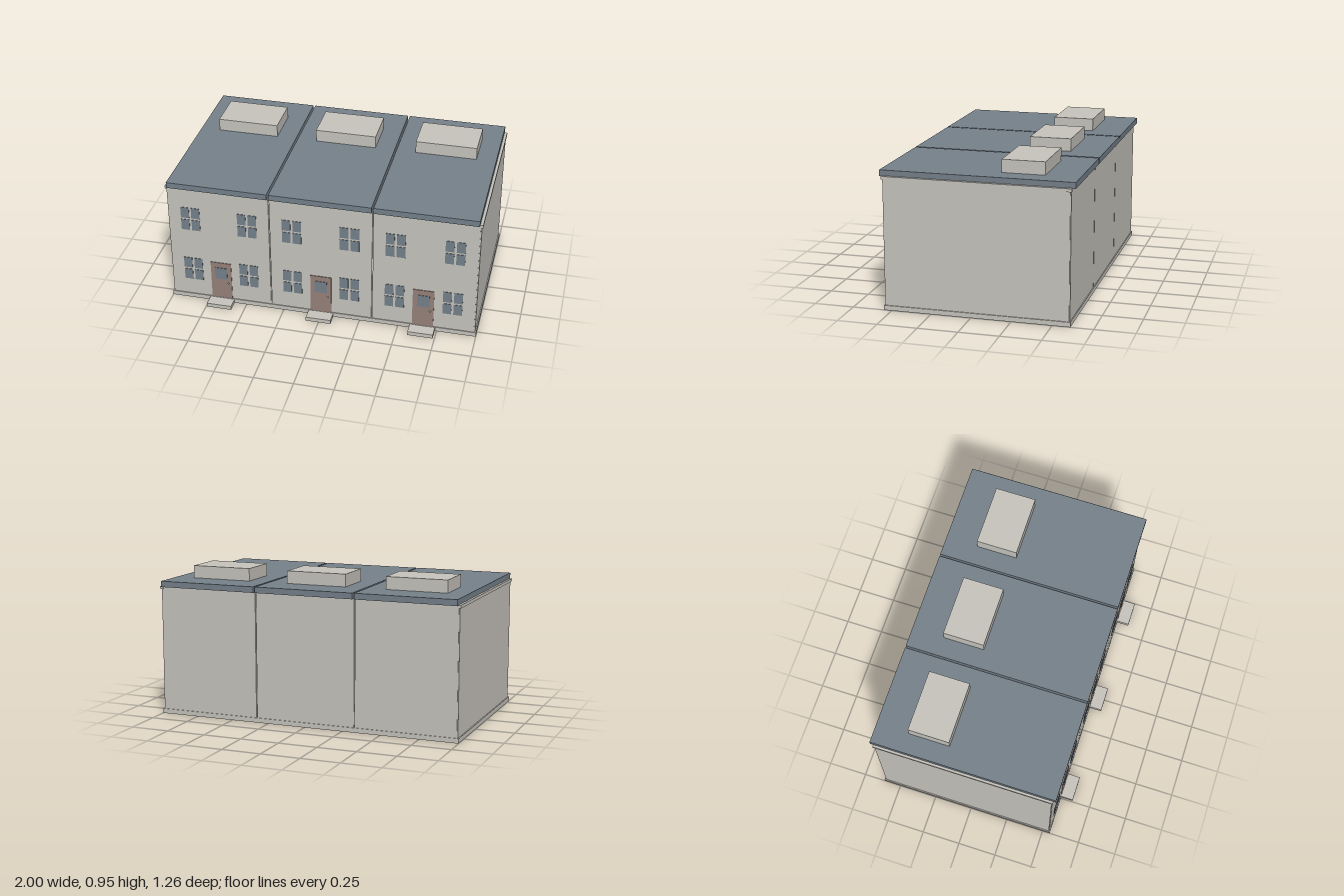
import * as THREE from 'three';

const mat = (name, color) => {
  const m = new THREE.MeshStandardMaterial({ color });
  m.name = name;
  return m;
};

export function createModel() {
  const stone = mat('pale stone', 0xc9c6bf);
  const slate = mat('slate blue', 0x76828c);
  const wood = mat('door brown', 0x98827a);
  const metal = mat('pale metal', 0xdedcd6);

  const root = new THREE.Group();
  root.name = 'terrace';

  // Box given by its lower and upper corner
  const box = (parent, name, m, x0, x1, y0, y1, z0, z1) => {
    const mesh = new THREE.Mesh(new THREE.BoxGeometry(x1 - x0, y1 - y0, z1 - z0), m);
    mesh.position.set((x0 + x1) / 2, (y0 + y1) / 2, (z0 + z1) / 2);
    mesh.name = name;
    parent.add(mesh);
    return mesh;
  };

  const front = 0.545, back = -0.605;

  // Window of four panes set just proud of the wall
  const addWindow = (parent, x, y) => {
    const win = new THREE.Group();
    win.name = 'window';
    win.position.set(x, y, front);
    for (const sx of [-1, 1]) {
      for (const sy of [-1, 1]) {
        const cx = sx * 0.0345, cy = sy * 0.0445;
        box(win, 'pane', slate, cx - 0.0275, cx + 0.0275, cy - 0.038, cy + 0.038, -0.002, 0.003);
      }
    }
    parent.add(win);
  };

  // Continuous plinth and the core behind the joints between houses
  box(root, 'plinth', stone, -1, 1, 0, 0.03, back - 0.005, front + 0.005);
  box(root, 'core', stone, -0.98, 0.98, 0.03, 0.832, back + 0.008, front - 0.008);

  // End walls with a slim coping under the roof edge
  for (const s of [-1, 1]) {
    const a = s * 0.98, b = s * 0.993, c = s;
    box(root, 'endWall', stone, Math.min(a, b), Math.max(a, b), 0.03, 0.832, back + 0.004, front - 0.004);
    box(root, 'coping', stone, Math.min(a, c), Math.max(a, c), 0.815, 0.835, back - 0.005, front + 0.005);
  }

  [-0.662, -0.002, 0.658].forEach((x) => {
    const house = new THREE.Group();
    house.name = 'house';
    house.position.x = x;
    root.add(house);

    // Walls, flat roof and roof box
    box(house, 'walls', stone, -0.326, 0.328, 0.03, 0.832, back, front);
    box(house, 'roof', slate, -0.323, 0.324, 0.832, 0.87, -0.63, 0.565);
    box(house, 'roofBox', stone, -0.198, 0.198, 0.87, 0.95, -0.42, -0.155);

    // Two windows on each floor
    for (const wx of [-0.185, 0.185]) {
      for (const wy of [0.228, 0.608]) addWindow(house, wx, wy);
    }

    // Door with glazing, knob and step
    box(house, 'door', wood, -0.068, 0.068, 0.03, 0.3, front - 0.002, front + 0.004);
    box(house, 'doorGlass', slate, -0.04, 0.04, 0.178, 0.262, front, front + 0.007);
    const knob = new THREE.Mesh(new THREE.SphereGeometry(0.006, 12, 8), metal);
    knob.name = 'doorKnob';
    knob.position.set(0.046, 0.15, front + 0.008);
    house.add(knob);
    box(house, 'step', stone, -0.081, 0.081, 0, 0.027, front, 0.63);
  });

  return root;
}
